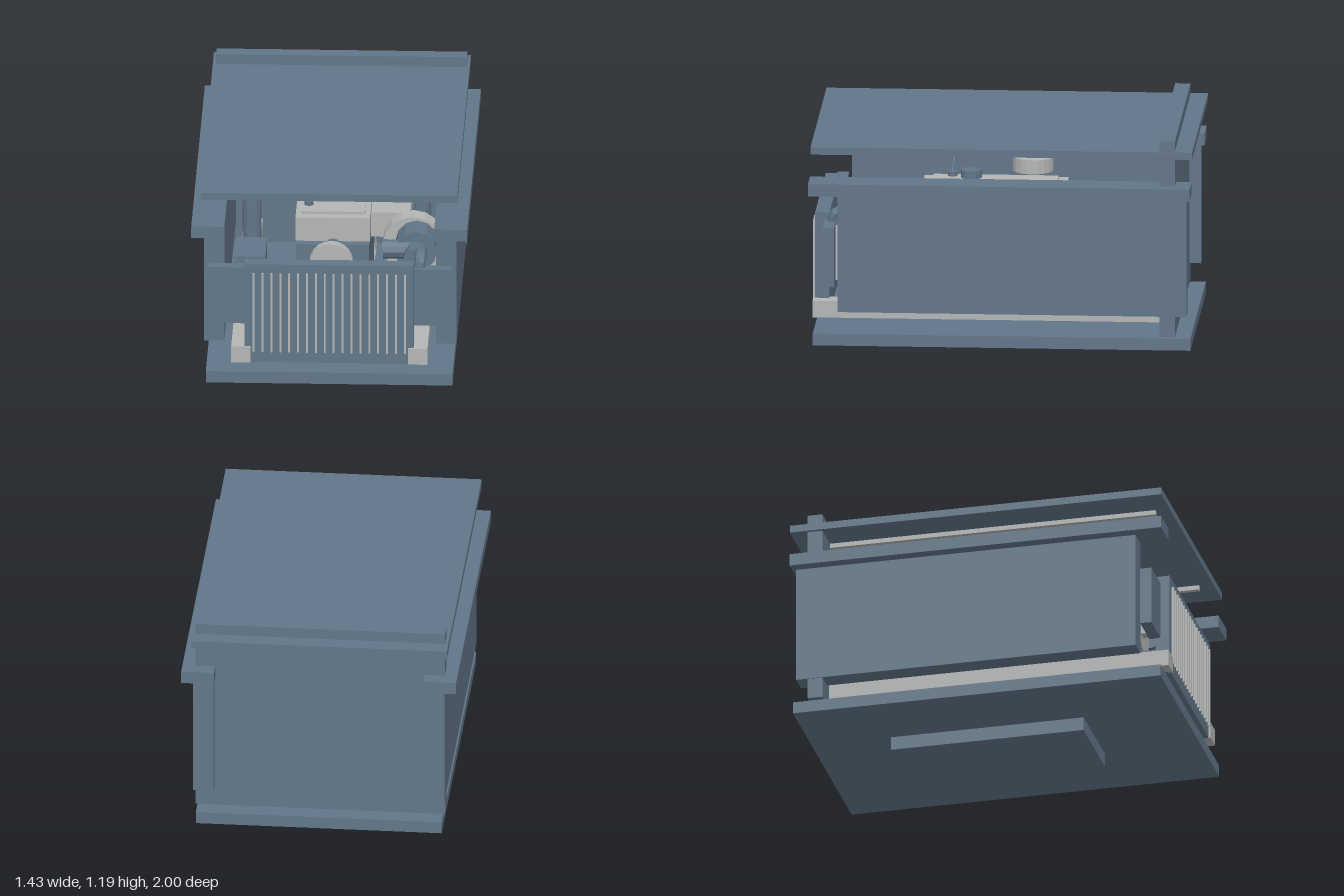
import * as THREE from 'three';

export function createModel() {
  const model = new THREE.Group();
  const dark = new THREE.MeshStandardMaterial({ color: 0x627688 });
  dark.name = 'slateBlue';
  const light = new THREE.MeshStandardMaterial({ color: 0xb4b5b5 });
  light.name = 'lightGrey';
  dark.flatShading = light.flatShading = true;

  const add = (name, geometry, material) => {
    const mesh = new THREE.Mesh(geometry, material);
    mesh.name = name;
    model.add(mesh);
    return mesh;
  };
  // Box given by its limits on each axis
  const box = (name, mat, x0, x1, y0, y1, z0, z1) => {
    const m = add(name, new THREE.BoxGeometry(x1 - x0, y1 - y0, z1 - z0), mat);
    m.position.set((x0 + x1) / 2, (y0 + y1) / 2, (z0 + z1) / 2);
    return m;
  };
  // The same box on both sides of x = 0
  const pair = (name, mat, x0, x1, ...rest) => {
    box(name + 'Left', mat, x0, x1, ...rest);
    box(name + 'Right', mat, -x1, -x0, ...rest);
  };
  // Cylinder along an axis
  const cyl = (name, mat, axis, x, y, z, r, length, sides = 16, r2 = r) => {
    const g = new THREE.CylinderGeometry(r, r2, length, sides);
    if (axis === 'z') g.rotateX(Math.PI / 2);
    if (axis === 'x') g.rotateZ(Math.PI / 2);
    const m = add(name, g, mat);
    m.position.set(x, y, z);
    return m;
  };
  const tube = (name, mat, points, r) => {
    const curve = new THREE.CatmullRomCurve3(points.map((p) => new THREE.Vector3(...p)));
    const m = add(name, new THREE.TubeGeometry(curve, 12, r, 8), mat);
    // Close both ends of the pipe
    for (const p of [points[0], points[points.length - 1]]) {
      const cap = add(name + 'End', new THREE.SphereGeometry(r, 8, 6), mat);
      cap.position.set(...p);
    }
    return m;
  };

  // Casing, with its panels spaced apart
  box('lidPanel', dark, -0.67, 0.665, 1.096, 1.135, -0.995, 0.99);
  box('backPanel', dark, -0.652, 0.65, 0.145, 1.19, -0.905, -0.825);
  box('basePanel', dark, -0.642, 0.64, 0.072, 0.135, -0.985, 0.98);
  box('basePad', dark, -0.235, 0.232, 0, 0.163, -0.56, 0.47);
  pair('sidePanel', dark, 0.55, 0.656, 0.255, 0.885, -0.965, 0.85);
  pair('sideCap', dark, 0.545, 0.717, 0.885, 0.95, -0.985, 1);
  pair('lidRod', light, 0.463, 0.487, 1.072, 1.096, -0.92, 0.915);
  pair('chassisRail', light, 0.41, 0.51, 0.19, 0.278, -0.9, 0.99);

  // Radiator with fins and side tanks
  box('radiatorCore', dark, -0.44, 0.438, 0.19, 0.735, 0.905, 0.98);
  for (let i = 0; i < 18; i++) {
    const x = -0.393 + i * 0.0462;
    box('radiatorFin', light, x - 0.005, x + 0.005, 0.25, 0.687, 0.975, 0.993);
  }
  pair('radiatorTank', dark, 0.435, 0.637, 0.385, 0.697, 0.87, 0.93);
  pair('tankBracket', light, 0.44, 0.5, 0.39, 0.68, 0.84, 0.87);

  // Engine block, head and sump
  box('engineBlock', dark, -0.19, 0.19, 0.3, 0.66, -0.25, 0.5);
  box('engineHead', light, -0.195, 0.192, 0.66, 0.79, -0.3, 0.45);
  box('headCover', light, -0.165, 0.165, 0.79, 0.805, -0.25, 0.4);
  box('intakeManifold', light, 0.196, 0.4, 0.66, 0.795, -0.25, 0.38);
  box('sump', dark, -0.16, 0.16, 0.2, 0.3, -0.15, 0.4);
  cyl('pulley', light, 'z', 0, 0.64, 0.71, 0.115, 0.05, 20);
  cyl('pulleyShaft', dark, 'z', 0, 0.64, 0.58, 0.04, 0.24, 12);
  cyl('crankPulley', dark, 'z', 0, 0.4, 0.6, 0.09, 0.2, 16);

  // Gearbox and drive housing
  cyl('bellHousing', light, 'z', 0, 0.33, -0.3, 0.2, 0.14, 16);
  cyl('gearbox', light, 'z', 0, 0.34, -0.56, 0.15, 0.4, 12, 0.1);
  cyl('driveHousing', dark, 'x', 0, 0.3, 0, 0.135, 0.34, 12);
  cyl('axle', dark, 'x', 0, 0.32, 0, 0.035, 0.9, 10);

  // Filler cap and dipstick
  cyl('fillerNeck', dark, 'y', -0.13, 0.81, 0.3, 0.025, 0.04, 10);
  cyl('fillerCap', dark, 'y', -0.1, 0.825, 0.2, 0.055, 0.045, 12);
  tube('leverRod', dark, [[-0.38, 0.905, 0.3], [-0.26, 0.867, 0.3], [-0.13, 0.83, 0.3]], 0.008);

  // Suspension towers
  for (const s of [-1, 1]) {
    cyl('towerMount', light, 'y', s * 0.44, 0.805, -0.1, 0.106, 0.075, 20);
    cyl('towerCap', dark, 'y', s * 0.488, 0.86, -0.1, 0.062, 0.04, 14);
    cyl('towerStrut', dark, 'y', s * 0.44, 0.52, -0.1, 0.05, 0.5, 12);
  }

  // Battery and turbocharger
  box('battery', dark, -0.5, -0.34, 0.4, 0.7, 0.51, 0.78);
  cyl('turboScroll', light, 'z', 0.42, 0.68, 0.5, 0.16, 0.1, 16);
  cyl('turboHousing', dark, 'z', 0.44, 0.715, 0.64, 0.11, 0.16, 12);
  cyl('turboInlet', dark, 'z', 0.44, 0.71, 0.76, 0.06, 0.12, 12);
  cyl('turboOutlet', dark, 'x', 0.36, 0.72, 0.7, 0.05, 0.18, 10);

  // Hoses and exhaust
  tube('upperHose', dark, [[0.47, 0.74, 0.75], [0.47, 0.74, 0.87], [0.46, 0.65, 0.885]], 0.03);
  tube('lowerHose', dark, [[-0.41, 0.3, 0.9], [-0.35, 0.33, 0.8], [-0.19, 0.38, 0.45]], 0.03);
  tube('exhaustPipe', dark, [[-0.42, 0.185, 0.725], [-0.4, 0.27, 0.68], [-0.3, 0.36, 0.5], [-0.19, 0.45, 0.3]], 0.028);

  return model;
}
